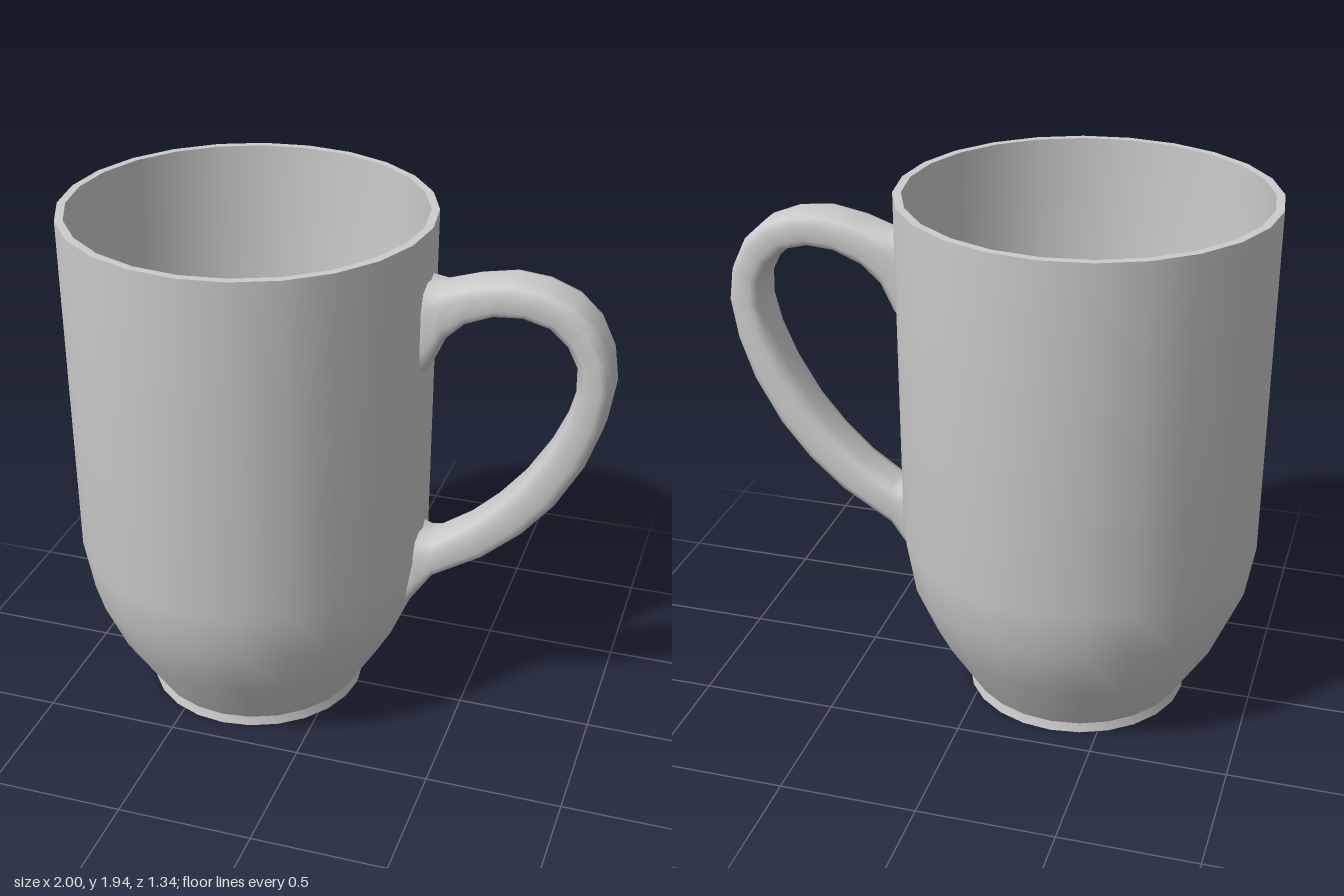
import * as THREE from 'three';
import { toCreasedNormals } from 'three/addons/utils/BufferGeometryUtils.js';

const material = new THREE.MeshStandardMaterial({ color: 0xcccccc });

// Thin-walled cup: profile runs from under the foot, up the outside, over the rim and down inside
function createCup() {
  const profile = [
    [0, 0.012], [0.378, 0.012], [0.386, 0], [0.412, 0], [0.405, 0.035],
    [0.545, 0.26], [0.626, 0.45], [0.66, 0.65], [0.67, 1.94],
    [0.64, 1.94], [0.628, 0.66], [0.592, 0.46], [0.512, 0.275], [0.366, 0.045], [0, 0.045],
  ].map(([r, y]) => new THREE.Vector2(r, y));
  const cup = new THREE.Mesh(toCreasedNormals(new THREE.LatheGeometry(profile, 24), 0.6), material);
  cup.name = 'cup';
  cup.position.x = -0.33;
  return cup;
}

// Handle: rounded sections spanned between an outer and an inner edge line, flared at both ends
function createHandle() {
  // outer x, outer y, inner x, inner y
  const stations = [
    [0.315, 1.755, 0.315, 1.39], [0.345, 1.75, 0.35, 1.44], [0.385, 1.742, 0.4, 1.55],
    [0.5, 1.778, 0.47, 1.618], [0.63, 1.8, 0.57, 1.662], [0.745, 1.787, 0.67, 1.672],
    [0.85, 1.745, 0.765, 1.648], [0.93, 1.67, 0.83, 1.59], [0.98, 1.565, 0.868, 1.515],
    [0.997, 1.445, 0.87, 1.42], [0.973, 1.29, 0.842, 1.31], [0.918, 1.13, 0.785, 1.18],
    [0.82, 0.955, 0.7, 1.04], [0.71, 0.82, 0.605, 0.925], [0.58, 0.705, 0.5, 0.825],
    [0.385, 0.585, 0.385, 0.745], [0.335, 0.51, 0.345, 0.745], [0.275, 0.42, 0.31, 0.765],
  ];
  const sides = 12, halfWidth = 0.098, zCentre = -0.01;
  const soften = (v) => Math.sign(v) * Math.pow(Math.abs(v), 0.6);
  const positions = [], index = [];
  stations.forEach(([ox, oy, ix, iy], i) => {
    for (let j = 0; j < sides; j++) {
      const a = ((j + 0.5) / sides) * Math.PI * 2;
      const t = 0.5 + 0.5 * soften(Math.cos(a)) / soften(Math.cos(Math.PI / sides));
      const z = soften(Math.sin(a)) / soften(Math.sin(Math.PI * 5 / 12));
      positions.push(ix + (ox - ix) * t, iy + (oy - iy) * t, zCentre + halfWidth * z);
      if (i === 0) continue;
      const k = (j + 1) % sides, p = (i - 1) * sides, q = i * sides;
      index.push(p + j, p + k, q + j, p + k, q + k, q + j);
    }
  });
  const geometry = new THREE.BufferGeometry();
  geometry.setAttribute('position', new THREE.Float32BufferAttribute(positions, 3));
  geometry.setIndex(index);
  geometry.computeVertexNormals();
  const handle = new THREE.Mesh(geometry, material);
  handle.name = 'handle';
  return handle;
}

export function createModel() {
  const mug = new THREE.Group();
  mug.name = 'mug';
  mug.add(createCup(), createHandle());
  return mug;
}
